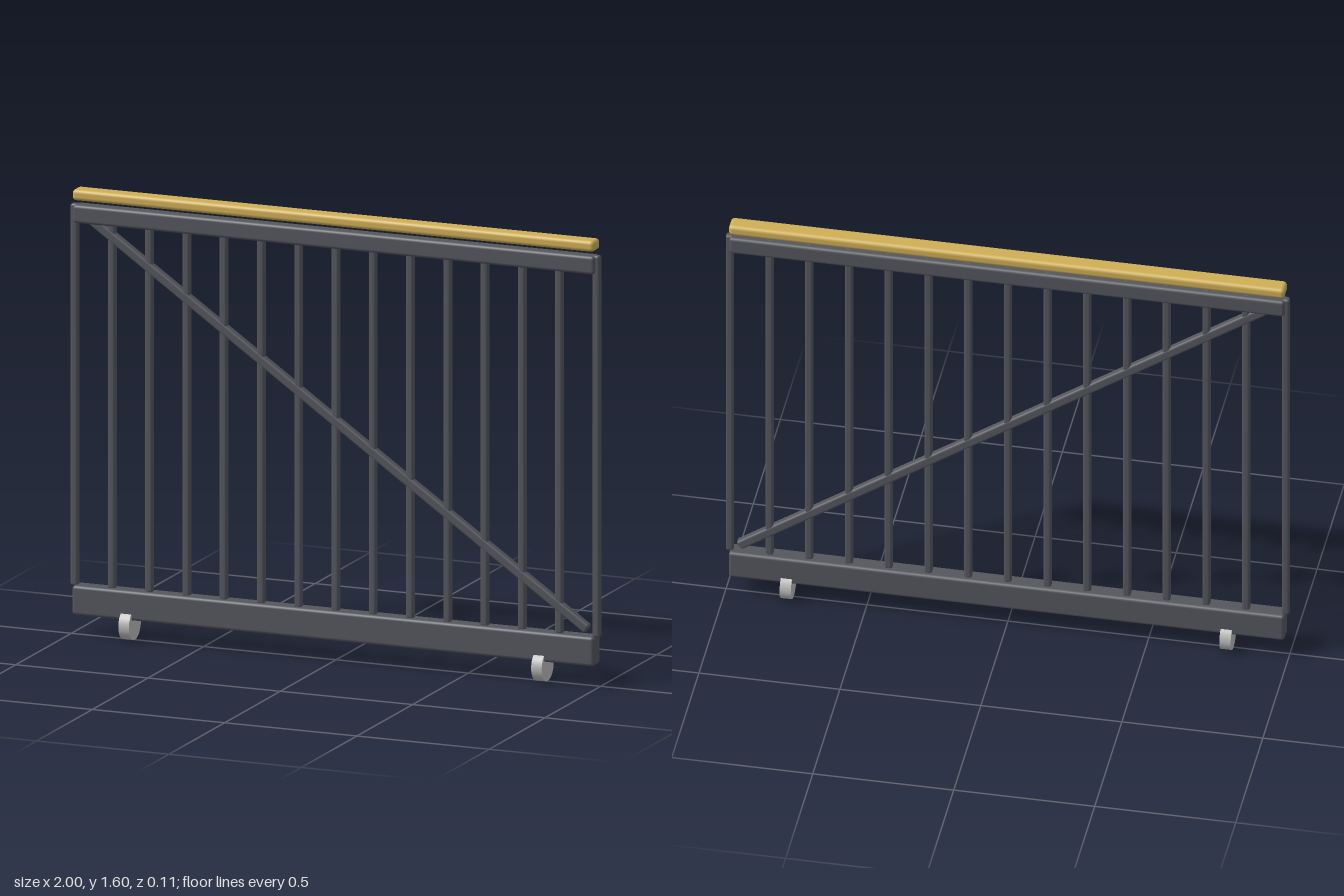
import * as THREE from 'three';
import { RoundedBoxGeometry } from 'three/addons/geometries/RoundedBoxGeometry.js';

const material = (name, color) => {
  const m = new THREE.MeshStandardMaterial({ color });
  m.name = name;
  return m;
};

export function createModel() {
  const steel = material('dark steel', 0x54565d);
  const brass = material('brass', 0xcfae55);
  const wheelGrey = material('wheel grey', 0xbcbcbc);
  const gate = new THREE.Group();
  gate.name = 'slidingGate';

  const add = (name, geometry, mat, x, y, z = 0) => {
    const mesh = new THREE.Mesh(geometry, mat);
    mesh.name = name;
    mesh.position.set(x, y, z);
    gate.add(mesh);
    return mesh;
  };
  const bar = (w, h, d, r) => new RoundedBoxGeometry(w, h, d, 3, r);

  // Horizontal rails
  const length = 1.972;
  add('bottomRail', bar(length, 0.106, 0.064, 0.012), steel, 0, 0.127);
  add('topRail', bar(length, 0.066, 0.054, 0.012), steel, 0, 1.511);
  add('handrail', bar(length, 0.04, 0.064, 0.014), brass, 0, 1.58);

  // Evenly spaced upright bars, the outer two on the rail ends
  const count = 15;
  const upright = bar(0.028, 1.37, 0.028, 0.009);
  for (let i = 0; i < count; i++) {
    add('uprightBar', upright, steel, -0.986 + (1.972 * i) / (count - 1), 0.86);
  }

  // Diagonal brace from the upper right to the lower left corner
  const start = new THREE.Vector2(-0.945, 1.508);
  const end = new THREE.Vector2(0.945, 0.206);
  const run = end.clone().sub(start);
  const brace = add('diagonalBrace', bar(run.length() + 0.02, 0.036, 0.031, 0.009), steel,
    (start.x + end.x) / 2, (start.y + end.y) / 2);
  brace.rotation.z = Math.atan2(run.y, run.x);

  // Wheels set into the bottom rail
  const wheel = new THREE.CylinderGeometry(0.054, 0.054, 0.04, 32).rotateZ(Math.PI / 2);
  for (const side of [-1, 1]) {
    add(side > 0 ? 'leftWheel' : 'rightWheel', wheel, wheelGrey, side * 0.78, 0.054);
  }

  return gate;
}
